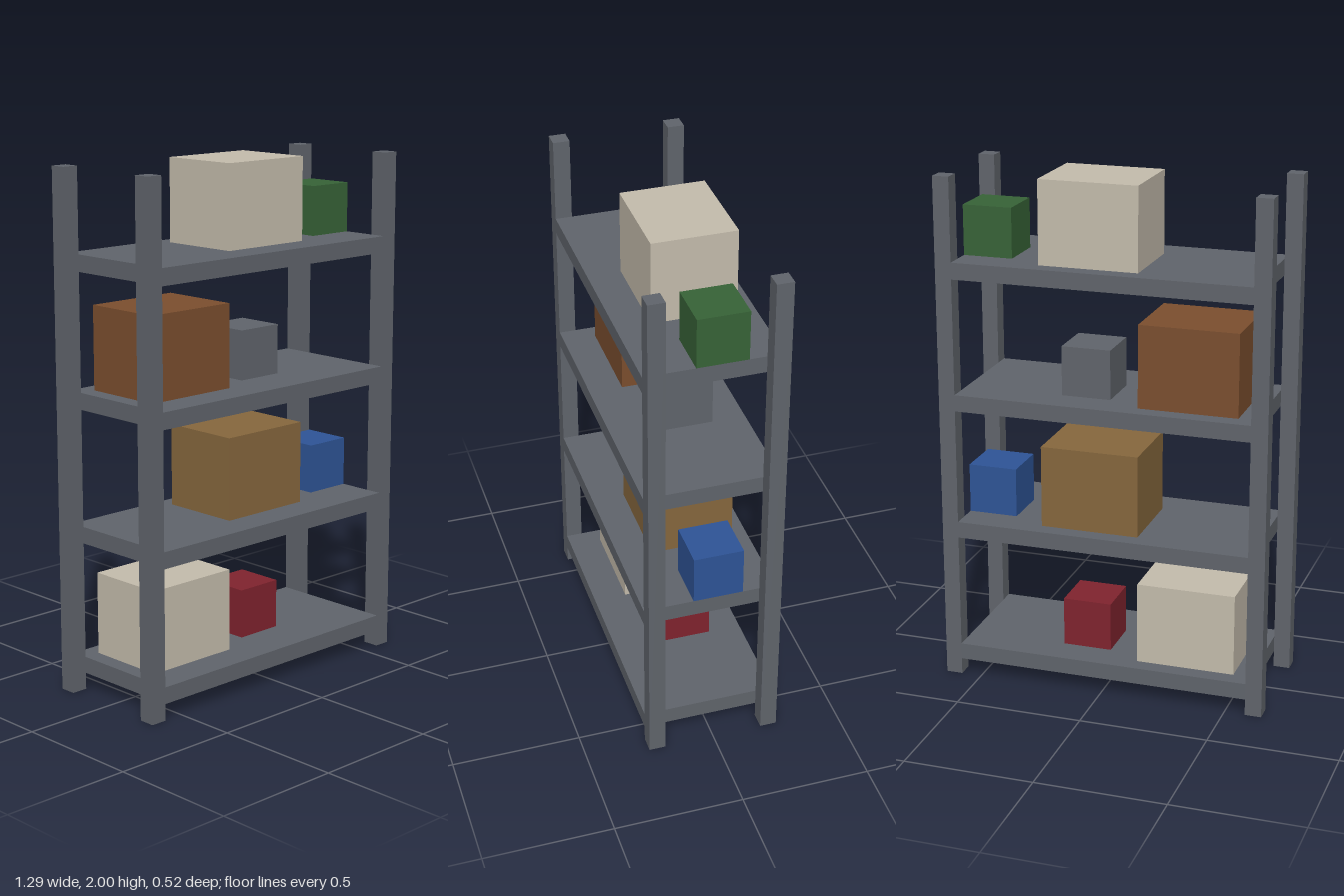
import * as THREE from 'three';

const U = 2 / 31; // modelling unit: one post thickness

const material = (name, color) => {
  const m = new THREE.MeshStandardMaterial({ color });
  m.name = name;
  return m;
};

export function createModel() {
  const steel = material('steel grey', 0x60646b);
  const cream = material('cream', 0xc4bcac);
  const tan = material('tan cardboard', 0x86673d);
  const brown = material('brown cardboard', 0x7b4e2e);
  const red = material('red', 0x80232e);
  const blue = material('blue', 0x2e5496);
  const green = material('green', 0x376337);

  const rack = new THREE.Group();
  rack.name = 'storageRack';

  // Box given by its minimum corner and size, in units
  const addBox = (name, mat, [x, y, z], [w, h, d]) => {
    const mesh = new THREE.Mesh(new THREE.BoxGeometry(w * U, h * U, d * U), mat);
    mesh.position.set((x + w / 2) * U, (y + h / 2) * U, (z + d / 2) * U);
    mesh.name = name;
    rack.add(mesh);
  };

  // Corner posts
  for (const [side, x] of [['Left', 9], ['Right', -10]]) {
    for (const [end, z] of [['front', 3], ['back', -4]]) {
      addBox(`${end}${side}Post`, steel, [x, 0, z], [1, 31, 1]);
    }
  }

  // Shelves, each carrying a large crate and a small box
  const crates = [cream, tan, brown, cream];
  const smallBoxes = [red, blue, steel, green];
  for (let i = 0; i < 4; i++) {
    const y = 1 + i * 8;
    const shift = (i % 2) * 6; // loads alternate in position
    addBox(`shelf${i + 1}`, steel, [-9, y, -4], [18, 1, 8]);
    addBox(`crate${i + 1}`, crates[i], [-8 + shift, y + 1, -3], [6, 5, 5]);
    addBox(`smallBox${i + 1}`, smallBoxes[i], [shift, y + 1, -2], [3, 3, 3]);
  }

  return rack;
}
